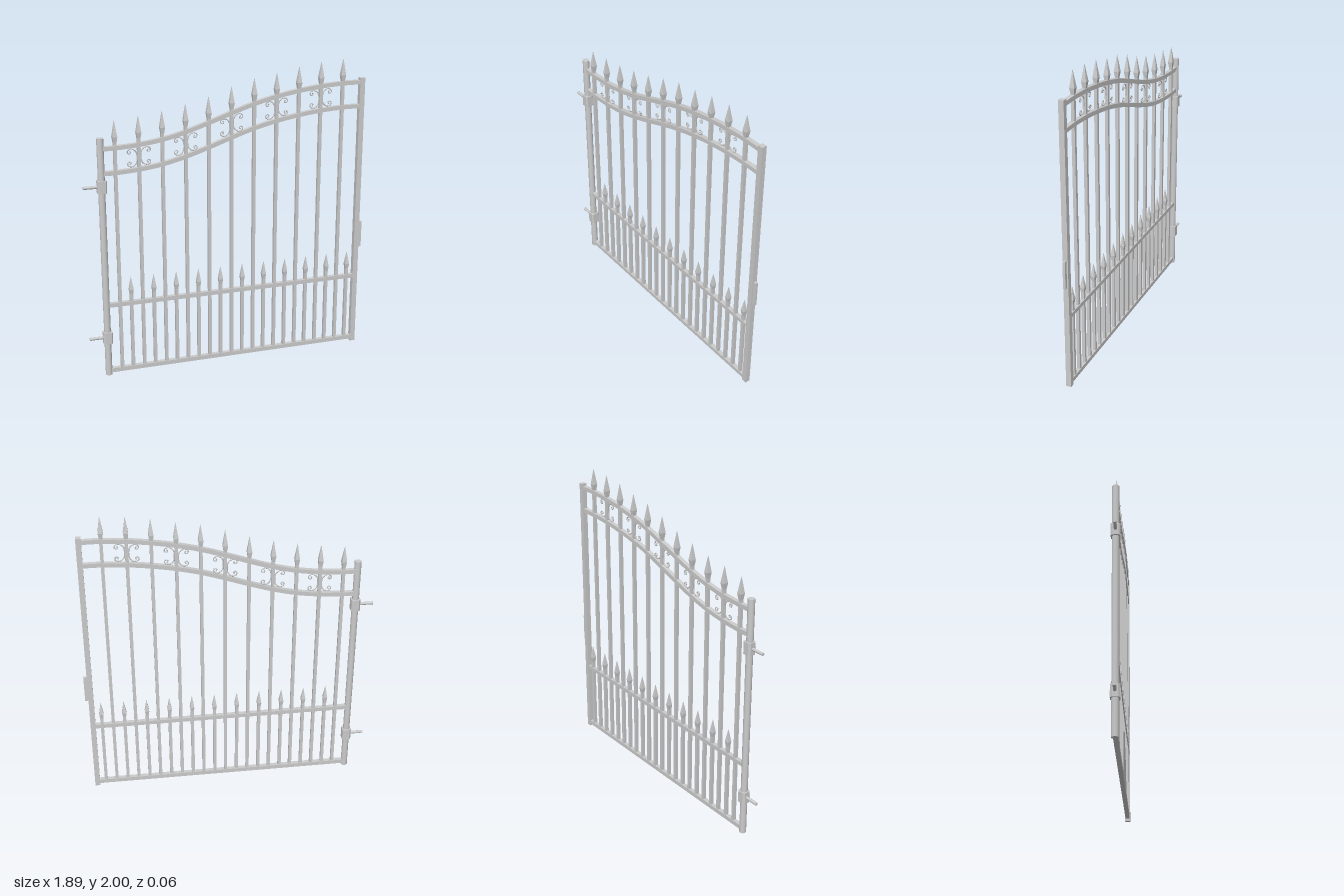
import * as THREE from 'three';

const smooth = new THREE.MeshStandardMaterial({ color: 0xcccccc });
const flat = new THREE.MeshStandardMaterial({ color: 0xcccccc, flatShading: true });

export function createModel() {
  const gate = new THREE.Group();
  gate.name = 'gate';

  const add = (name, geometry, x = 0, y = 0, material = flat) => {
    const mesh = new THREE.Mesh(geometry, material);
    mesh.name = name;
    mesh.position.set(x, y, 0);
    gate.add(mesh);
    return mesh;
  };
  const box = (name, x0, x1, y0, y1, depth) =>
    add(name, new THREE.BoxGeometry(x1 - x0, y1 - y0, depth), (x0 + x1) / 2, (y0 + y1) / 2);

  // Posts: a round hinge post and a square latch post
  add('hingePost', new THREE.CylinderGeometry(0.022, 0.022, 1.6, 24), -0.829, 0.8, smooth);
  box('latchPost', 0.89, 0.924, 0, 1.87, 0.034);
  box('latchPlate', 0.924, 0.945, 0.7, 0.88, 0.016);

  // Hinges: chamfered collars with a pin pointing outward
  const collar = new THREE.Shape([
    [-0.029, -0.017], [-0.018, -0.029], [0.022, -0.029], [0.03, -0.021],
    [0.03, 0.021], [0.022, 0.029], [-0.018, 0.029], [-0.029, 0.017],
  ].map(([x, y]) => new THREE.Vector2(x, y)));
  for (const y of [0.267, 1.29]) {
    const g = new THREE.ExtrudeGeometry(collar, { depth: 0.08, bevelEnabled: false });
    g.translate(0, 0, -0.04).rotateX(Math.PI / 2);
    add('hingeCollar', g, -0.829, y);
    const pin = add('hingePin', new THREE.CylinderGeometry(0.01, 0.01, 0.1, 16), -0.896, y, smooth);
    pin.rotation.z = Math.PI / 2;
  }

  // Straight rails
  box('bottomRail', -0.83, 0.9, 0.015, 0.043, 0.028);
  box('middleRail', -0.83, 0.9, 0.477, 0.504, 0.028);

  // Swept upper rails, both following the same curve
  const sweep = new THREE.SplineCurve([
    [-0.83, 1.532], [-0.738, 1.532], [-0.583, 1.542], [-0.431, 1.564], [-0.283, 1.6],
    [-0.132, 1.648], [0.0185, 1.7], [0.169, 1.748], [0.32, 1.785], [0.471, 1.812],
    [0.622, 1.831], [0.773, 1.841], [0.9, 1.841],
  ].map(([x, y]) => new THREE.Vector2(x, y)));
  const samples = sweep.getPoints(72);
  const railY = (x) => {
    const i = samples.findIndex((p) => p.x >= x);
    const a = samples[i - 1], b = samples[i];
    return a.y + ((b.y - a.y) * (x - a.x)) / (b.x - a.x);
  };
  const edge = (offset) => samples.map((p, i) => {
    const t = sweep.getTangent(i / 72);
    return new THREE.Vector2(p.x - t.y * offset, p.y + t.x * offset);
  });
  const sweptRail = new THREE.ExtrudeGeometry(
    new THREE.Shape([...edge(-0.0135), ...edge(0.0135).reverse()]),
    { depth: 0.028, bevelEnabled: false }).translate(0, 0, -0.014);
  const gap = 0.158;
  add('upperRail', sweptRail);
  add('lowerSweptRail', sweptRail, 0, -gap);

  // Four-sided spearhead with its tip at the origin
  const spear = (x, tip, length, radius) => {
    const points = [[0, -length], [0.009, -length], [radius, -0.68 * length], [0.0005, 0]];
    const g = new THREE.LatheGeometry(
      points.map(([r, y]) => new THREE.Vector2(r * Math.SQRT2, y)), 4, Math.PI / 4);
    add('spearhead', g, x, tip);
  };

  // Tall and short square pickets alternate
  const tips = [1.707, 1.725, 1.745, 1.778, 1.815, 1.868, 1.912, 1.936, 1.968, 1.99, 2];
  const bar = 0.0105;
  tips.forEach((tip, i) => {
    const x = -0.738 + 0.151 * i;
    box('tallPicket', x - bar, x + bar, 0.03, tip - 0.14, 2 * bar);
    spear(x, tip, 0.155, 0.016);
    const s = x + 0.0745;
    box('shortPicket', s - bar, s + bar, 0.03, 0.55, 2 * bar);
    spear(s, 0.67, 0.13, 0.0145);
  });

  // C-scrolls back to back on every second tall picket
  const half = [
    [0.013, 0.015], [0.018, 0.036], [0.033, 0.052], [0.053, 0.057], [0.07, 0.049],
    [0.073, 0.034], [0.062, 0.026], [0.052, 0.033], [0.057, 0.041],
  ];
  const outline = [...half.map(([x, y]) => [x, -y]).reverse(), ...half];
  for (let i = 1; i < 11; i += 2) {
    const x = -0.738 + 0.151 * i;
    for (const side of [-1, 1]) {
      const curve = new THREE.CatmullRomCurve3(
        outline.map(([px, py]) => new THREE.Vector3(px * side, py, 0)));
      const y = railY(x + side * 0.04) - gap / 2;
      add('scroll', new THREE.TubeGeometry(curve, 72, 0.0037, 8), x, y, smooth);
      for (const end of [-1, 1]) {
        add('scrollEnd', new THREE.SphereGeometry(0.005, 10, 8),
          x + side * 0.057, y + end * 0.041, smooth);
      }
    }
  }

  return gate;
}
